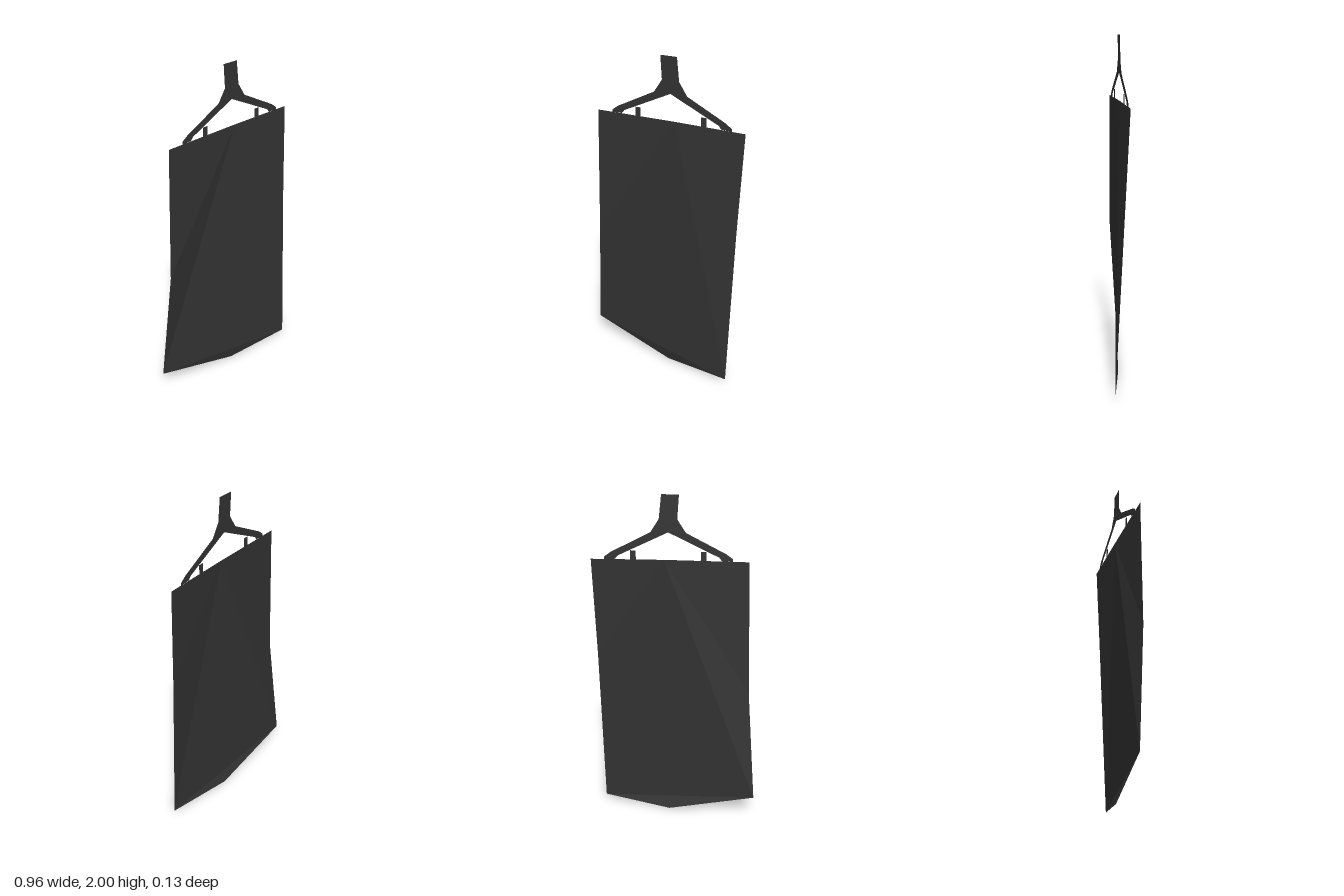
import * as THREE from 'three';

const material = new THREE.MeshStandardMaterial({ color: 0x333333, side: THREE.DoubleSide, flatShading: true });
const PLANE_Z = -0.015; // everything hangs in this plane before the sheet twists
const MID_X = 0.046;    // centre line of the hanger

// Flat outline, facing +z
function flatPart(name, points) {
  const shape = new THREE.Shape(points.map(([x, y]) => new THREE.Vector2(x, y)));
  const mesh = new THREE.Mesh(new THREE.ShapeGeometry(shape), material);
  mesh.position.z = PLANE_Z;
  mesh.name = name;
  return mesh;
}

// Hanging sheet: a few large facets, twisted towards the bottom
function hangingSheet() {
  const corners = {
    topLeft: [-0.4, 1.64, PLANE_Z],
    topMid: [0.07, 1.643, PLANE_Z],
    topRight: [0.477, 1.64, PLANE_Z],
    midLeft: [-0.427, 0.85, -0.017],
    midRight: [0.468, 1.05, 0.013],
    lowLeft: [-0.484, 0.145, -0.065],
    lowRight: [0.466, 0.035, 0.062],
    lowMid: [0.046, 0, -0.012],
  };
  const facets = [
    ['topLeft', 'midLeft', 'topMid'],
    ['midLeft', 'lowLeft', 'topMid'],
    ['lowLeft', 'lowRight', 'topMid'],
    ['lowRight', 'midRight', 'topMid'],
    ['midRight', 'topRight', 'topMid'],
    ['lowLeft', 'lowMid', 'lowRight'],
  ];
  const geometry = new THREE.BufferGeometry();
  const positions = facets.flat().flatMap((key) => corners[key]);
  geometry.setAttribute('position', new THREE.Float32BufferAttribute(positions, 3));
  geometry.computeVertexNormals();
  const mesh = new THREE.Mesh(geometry, material);
  mesh.name = 'hangingSheet';
  return mesh;
}

export function createModel() {
  const group = new THREE.Group();
  group.name = 'hangingBanner';
  group.add(hangingSheet());

  // Forked hanger: neck and two sloping arms, mirrored about the centre line.
  // Each point is [distance from centre line, height]
  const half = [
    [0.05, 1.868], [0.097, 1.795], [0.318, 1.682], [0.355, 1.655], [0.355, 1.64],
    [0.295, 1.643], [0.28, 1.662],
  ];
  const left = half.map(([d, y]) => [MID_X + d, y]);
  const right = half.map(([d, y]) => [MID_X - d, y]).reverse();
  group.add(flatPart('hanger', [
    [-0.013, 2], ...right.slice().reverse(), [MID_X, 1.796], ...left.slice().reverse(), [0.082, 2],
  ]));

  // Small clips joining the sheet's top edge to the arms
  for (const side of [-1, 1]) {
    const x = MID_X + side * 0.195;
    const w = 0.016;
    group.add(flatPart(side > 0 ? 'leftClip' : 'rightClip', [
      [x - w, 1.635], [x + w, 1.635], [x + w, 1.693], [x - w, 1.693],
    ]));
  }
  return group;
}
